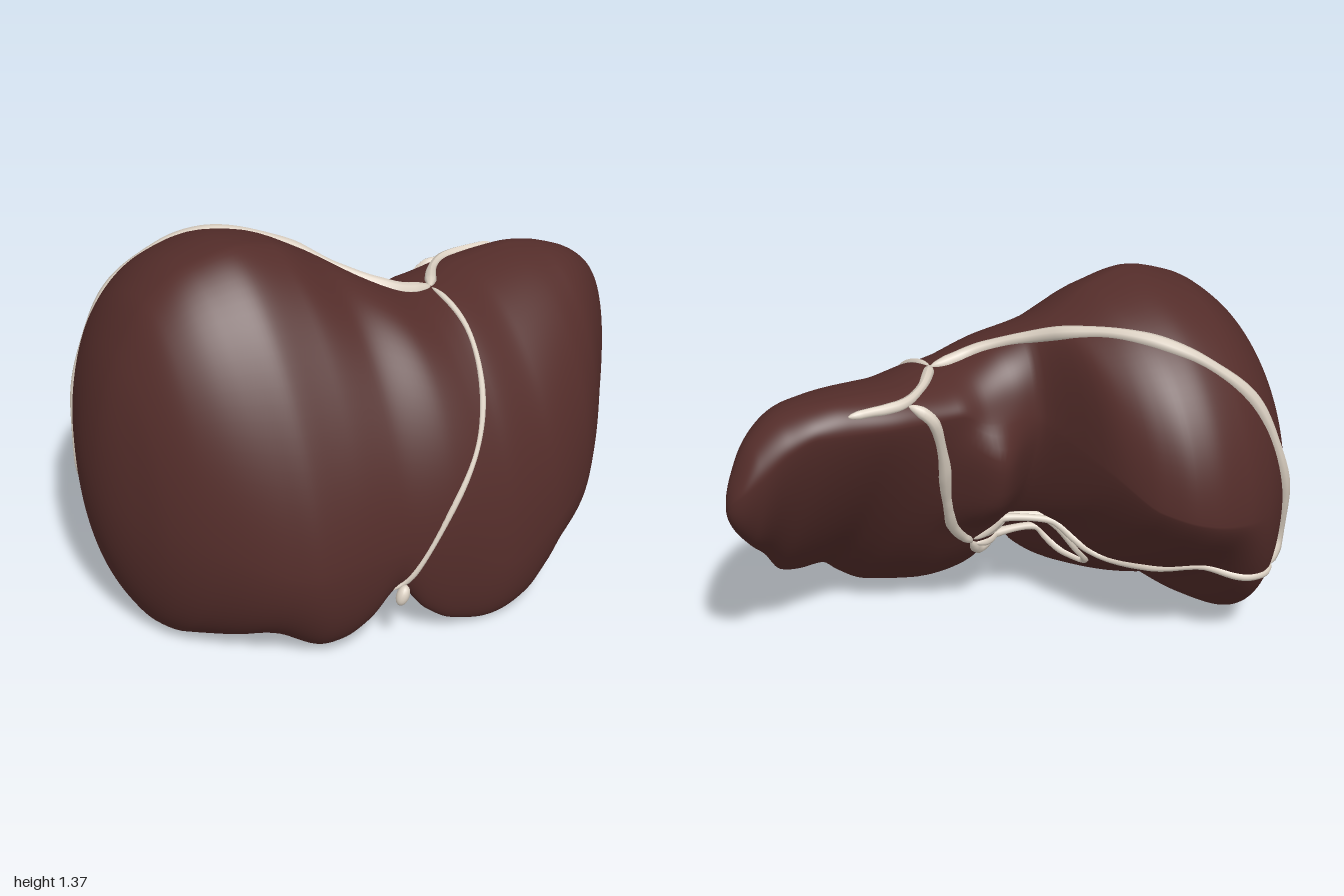
import * as THREE from 'three';

const liverMat = new THREE.MeshStandardMaterial({ color: 0x542d2a });
const ligamentMat = new THREE.MeshStandardMaterial({ color: 0xdcd1c3 });

// Smooth curve without overshoot through x, value pairs; knots are spread by angle so both ends close round.
const toAngle = x => Math.acos(Math.max(-1, Math.min(1, -x)));
function curve(...pairs) {
  const t = [], v = [];
  for (let i = 0; i < pairs.length; i += 2) { t.push(toAngle(pairs[i])); v.push(pairs[i + 1]); }
  const n = t.length;
  const slope = i => (v[i + 1] - v[i]) / (t[i + 1] - t[i]);
  const m = t.map((_, i) => {
    if (i === 0) return slope(0);
    if (i === n - 1) return slope(n - 2);
    const a = slope(i - 1), b = slope(i);
    return a * b <= 0 ? 0 : 2 * a * b / (a + b);
  });
  return a => {
    let i = 0;
    while (i < n - 2 && a > t[i + 1]) i++;
    const h = t[i + 1] - t[i], s = (a - t[i]) / h, s2 = s * s, s3 = s2 * s;
    return (2 * s3 - 3 * s2 + 1) * v[i] + (s3 - 2 * s2 + s) * h * m[i]
      + (3 * s2 - 2 * s3) * v[i + 1] + (s3 - s2) * h * m[i + 1];
  };
}

// Outline of each cross-section along x: its top, front, bottom and back extreme points
const topY = curve(-1, .58, -.95, .95, -.9, 1.08, -.8, 1.24, -.65, 1.345, -.5, 1.38, -.35, 1.35, -.2, 1.27,
  0, 1.15, .12, 1.105, .2, 1.095, .4, 1.1, .6, 1.11, .7, 1.1, .8, 1.07, .9, 1, .97, .89, 1, .78);
const topZ = curve(-1, -.1, -.7, -.03, -.5, .01, -.2, .0, 0, .12, .2, .13, .4, .05, .6, .05, .8, .1, 1, .07);
const frontZ = curve(-1, -.1, -.95, .12, -.9, .23, -.8, .36, -.6, .52, -.5, .57, -.4, .585, -.2, .6, 0, .645,
  .2, .67, .4, .64, .6, .56, .7, .48, .8, .37, .9, .25, .95, .18, 1, .07);
const frontY = curve(-1, .58, -.8, .48, -.5, .38, -.2, .4, 0, .35, .2, .25, .4, .32, .6, .42, .8, .62, .9, .7, 1, .78);
const bottomY = curve(-1, .58, -.97, .3, -.9, .1, -.85, .03, -.8, .005, -.7, .025, -.58, .075, -.45, .032, -.38, .045,
  -.3, .1, -.2, .235, -.1, .12, 0, .05, .14, .018, .3, .05, .4, .12, .47, .185, .6, .23, .7, .3, .8, .45, .9, .58, .97, .68, 1, .78);
const bottomZ = curve(-1, -.1, -.9, -.05, -.8, .0, -.7, .12, -.65, .2, -.57, .32, -.45, .42, -.3, .48, -.2, .54, 0, .58,
  .2, .6, .4, .57, .6, .48, .8, .28, .9, .15, 1, .07);
const backZ = curve(-1, -.1, -.95, -.32, -.9, -.43, -.8, -.56, -.7, -.63, -.6, -.665, -.5, -.675, -.4, -.655,
  -.3, -.58, -.25, -.51, -.2, -.4, -.17, -.26, -.14, -.14, -.1, -.075, 0, -.07, .2, -.085, .4, -.085, .6, -.06, .8, -.02, .95, .01, 1, .07);
const backY = curve(-1, .58, -.9, .62, -.6, .66, -.3, .74, -.19, .85, -.1, .92, .1, .95, .2, 1, .7, 1.02, .8, .98, .9, .9, 1, .78);
// Fullness of the upper front and the underside: 2 is round, 1 is a straight slope
const upperFront = curve(-1, 2, -.75, 1.75, -.45, 1.62, -.2, 1.75, .1, 2, 1, 2);
const underside = curve(-1, 2, -.8, 2.2, -.7, 1.9, -.575, 1.5, -.45, 1.35, -.3, 1.25, -.15, 1.45, 0, 1.7, .2, 1.5,
  .5, 1.28, .8, 1.4, 1, 2);

function makeBody() {
  const rings = 180, quarter = 26, around = quarter * 4, pos = [], index = [];
  for (let i = 0; i <= rings; i++) {
    const a = Math.PI * i / rings, x = -Math.cos(a);
    const T = [topZ(a), topY(a)], F = [frontZ(a), frontY(a)], B = [bottomZ(a), bottomY(a)], K = [backZ(a), backY(a)];
    // Each quarter runs from p to q, with its centre at the corner opposite the bulge
    const quarters = [[T, F, upperFront(a), true], [F, B, 2, false], [B, K, underside(a), true], [K, T, 2, false]];
    for (const [p, q, n, level] of quarters) {
      for (let j = 0; j < quarter; j++) {
        const w = Math.PI / 2 * j / quarter;
        const c = 1 - Math.pow(Math.cos(w), 2 / n), s = Math.pow(Math.sin(w), 2 / n);
        let z = p[0] + (q[0] - p[0]) * (level ? s : c);
        const y = p[1] + (q[1] - p[1]) * (level ? c : s);
        // Caudate lobe swelling on the back
        if (p === B || p === K) {
          const fade = THREE.MathUtils.smoothstep(.3 - z, 0, .25);
          z -= .1 * fade * Math.exp(-(((x - .065) / .105) ** 2) - ((y - .72) / .21) ** 4);
        }
        pos.push(x, y, z);
      }
    }
  }
  for (let i = 0; i < rings; i++) {
    for (let j = 0; j < around; j++) {
      const k = (j + 1) % around, a = i * around + j, b = i * around + k, c = a + around, d = b + around;
      index.push(a, b, c, b, d, c);
    }
  }
  const g = new THREE.BufferGeometry();
  g.setAttribute('position', new THREE.Float32BufferAttribute(pos, 3));
  g.setIndex(index);
  g.computeVertexNormals();
  return g;
}

// Lays a point onto the liver surface
function settle(p, body) {
  const P = body.attributes.position, N = body.attributes.normal;
  let best = Infinity, at = 0;
  for (let i = 0; i < P.count; i++) {
    const d = (P.getX(i) - p.x) ** 2 + (P.getY(i) - p.y) ** 2 + (P.getZ(i) - p.z) ** 2;
    if (d < best) { best = d; at = i; }
  }
  const v = new THREE.Vector3().fromBufferAttribute(P, at), n = new THREE.Vector3().fromBufferAttribute(N, at);
  return p.clone().addScaledVector(n, -p.clone().sub(v).dot(n));
}

// Cord following the surface, tapering at both ends
function makeLigament(name, body, radius, points) {
  const rough = new THREE.CatmullRomCurve3(points.map(p => new THREE.Vector3(...p)));
  const path = new THREE.CatmullRomCurve3(rough.getSpacedPoints(points.length * 4).map(p => settle(p, body)));
  const steps = points.length * 12, sides = 8;
  const g = new THREE.TubeGeometry(path, steps, radius, sides);
  const P = g.attributes.position, v = new THREE.Vector3();
  for (let i = 0; i <= steps; i++) {
    const c = path.getPointAt(i / steps), e = Math.min(i, steps - i) / 4;
    const k = (e >= 1 ? 1 : .15 + .85 * Math.sqrt(e)) * (1 + .12 * Math.sin(i * .25));
    for (let j = 0; j <= sides; j++) {
      const id = i * (sides + 1) + j;
      v.fromBufferAttribute(P, id).sub(c).multiplyScalar(k).add(c);
      P.setXYZ(id, v.x, v.y, v.z);
    }
  }
  g.computeVertexNormals();
  const mesh = new THREE.Mesh(g, ligamentMat);
  mesh.name = name;
  return mesh;
}

export function createModel() {
  const group = new THREE.Group();
  group.name = 'liver';
  const body = makeBody();
  const lobes = new THREE.Mesh(body, liverMat);
  lobes.name = 'liverLobes';
  group.add(lobes);

  const ligaments = [
    ['falciformLigament', .01, [[.2, 1.1, .16], [.21, 1.04, .37], [.17, .87, .49], [.1, .72, .57], [-.05, .5, .62], [-.16, .32, .62], [-.22, .22, .6]]],
    ['leftCoronaryLigament', .018, [[.2, 1.1, .15], [.3, 1.1, .02], [.4, 1.1, -.05], [.6, 1.09, -.05]]],
    ['rightCoronaryLigament', .022, [[.2, 1.1, .15], [.05, 1.13, .13], [-.1, 1.19, .02], [-.2, 1.25, -.13], [-.3, 1.27, -.25], [-.5, 1.2, -.42],
      [-.7, 1.05, -.54], [-.8, .85, -.57], [-.87, .6, -.52], [-.88, .42, -.47], [-.84, .345, -.5]]],
    ['venousLigament', .02, [[.38, 1.09, -.06], [.32, 1.03, -.09], [.26, .85, -.06], [.22, .65, 0], [.14, .5, .1], [.05, .4, .18]]],
    ['roundLigament', .018, [[.05, .4, .18], [-.02, .33, .32], [-.12, .27, .48], [-.21, .23, .6]]],
    ['lowerRightLigament', .015, [[.05, .41, .16], [-.07, .41, 0], [-.2, .36, -.08], [-.32, .32, -.14], [-.45, .36, -.3], [-.575, .375, -.44], [-.72, .35, -.53], [-.84, .345, -.5]]],
    ['gallbladderRim', .016, [[.04, .38, .18], [-.1, .3, .14], [-.28, .25, .07], [-.37, .27, .01], [-.3, .35, -.02], [-.13, .41, 0], [.04, .41, .14]]],
  ];
  for (const [name, radius, points] of ligaments) group.add(makeLigament(name, body, radius, points));

  // Knob where the falciform and round ligaments meet at the lower notch
  const knob = new THREE.Mesh(new THREE.SphereGeometry(.025, 16, 12), ligamentMat);
  knob.name = 'ligamentKnob';
  knob.scale.set(.9, 1.5, .9);
  knob.rotation.z = -.4;
  knob.position.set(-.215, .235, .6);
  group.add(knob);
  return group;
}
